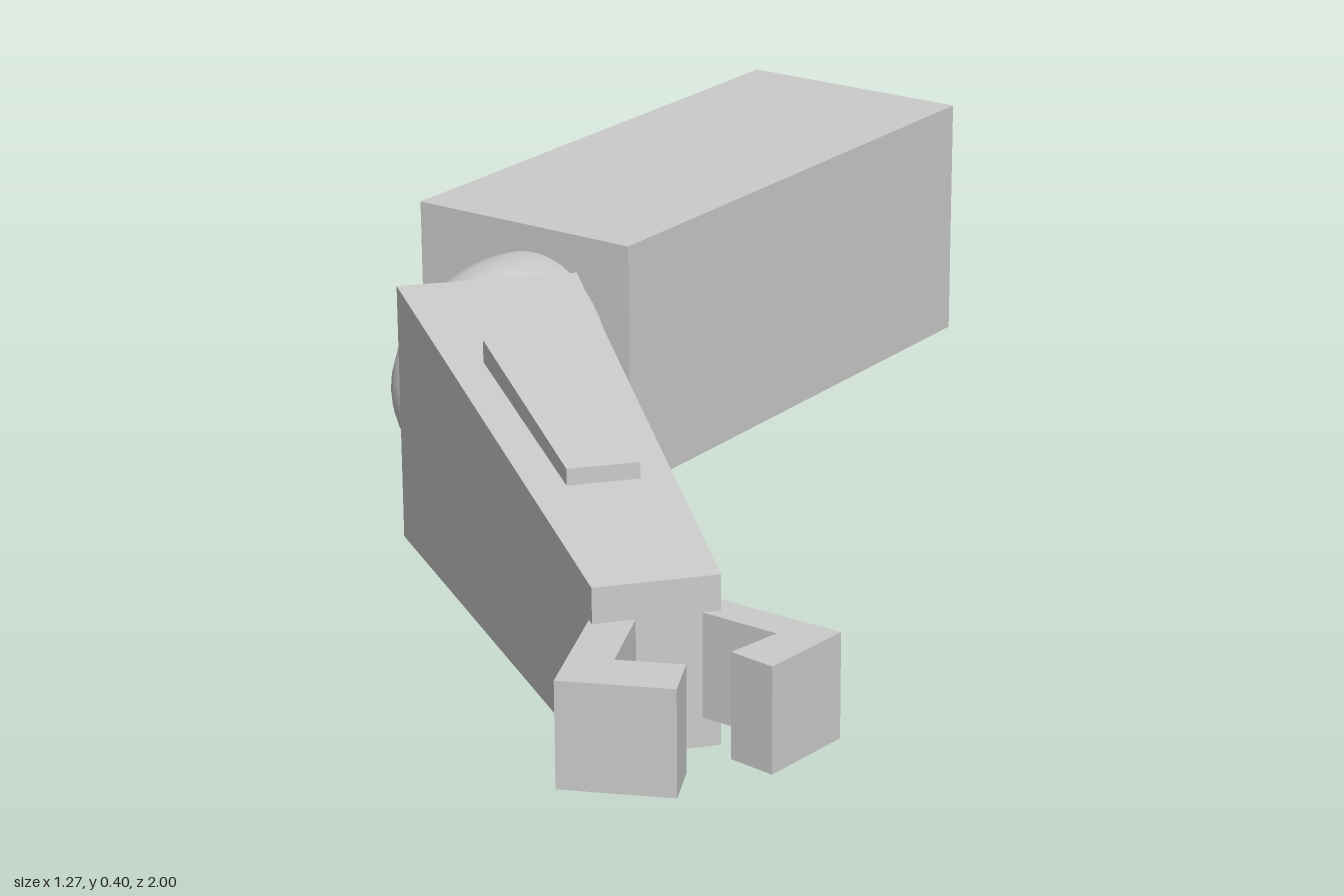
import * as THREE from 'three';

const material = new THREE.MeshStandardMaterial({ color: 0xcccccc });
const flatMaterial = new THREE.MeshStandardMaterial({ color: 0xcccccc, flatShading: true });

function part(name, geometry, mat = flatMaterial) {
  const mesh = new THREE.Mesh(geometry, mat);
  mesh.name = name;
  return mesh;
}

// Box whose four upright edges are moved to given [x, z, bottom, top] values,
// in the order back-left, back-right, front-left, front-right of the unit box.
function taperedBox(edges) {
  const geometry = new THREE.BoxGeometry(1, 1, 1);
  const pos = geometry.attributes.position;
  for (let i = 0; i < pos.count; i++) {
    const [x, z, low, high] = edges[(pos.getZ(i) > 0 ? 2 : 0) + (pos.getX(i) > 0 ? 1 : 0)];
    pos.setXYZ(i, x, pos.getY(i) > 0 ? high : low, z);
  }
  geometry.computeVertexNormals();
  return geometry;
}

// Upright prism from a plan outline of [x, z] points.
function planPrism(outline, low, high) {
  const shape = new THREE.Shape(outline.map(([x, z]) => new THREE.Vector2(x, -z)));
  return new THREE.ExtrudeGeometry(shape, { depth: high - low, bevelEnabled: false })
    .rotateX(-Math.PI / 2)
    .translate(0, low, 0);
}

export function createModel() {
  const arm = new THREE.Group();
  arm.name = 'roboticArm';

  // Upper arm block
  arm.add(part('upperArm', new THREE.BoxGeometry(0.39, 0.385, 0.91).translate(-0.44, 0.1925, -0.545)));

  // Smooth stretched elbow ball
  const elbow = part('elbow', new THREE.SphereGeometry(1, 32, 20), material);
  elbow.scale.set(0.144, 0.158, 0.256);
  elbow.rotation.y = 0.16;
  elbow.position.set(-0.413, 0.192, -0.02);
  arm.add(elbow);

  // Forearm tapering toward the wrist
  arm.add(part('forearm', taperedBox([
    [-0.41, 0.245, 0, 0.385], [-0.235, 0.05, 0, 0.385],
    [0.37, 0.835, 0.08, 0.31], [0.475, 0.71, 0.08, 0.31],
  ])));

  // Raised panel lying on the sloping forearm
  arm.add(part('forearmPanel', taperedBox([
    [-0.148, 0.381, 0.35, 0.395], [-0.058, 0.275, 0.35, 0.395],
    [0.175, 0.624, 0.325, 0.355], [0.238, 0.55, 0.325, 0.355],
  ])));

  // Two hooked gripper fingers
  const fingers = {
    leftFinger: [[0.45, 0.682], [0.633, 0.682], [0.622, 0.815], [0.557, 0.807], [0.571, 0.73], [0.45, 0.728]],
    rightFinger: [[0.354, 0.815], [0.432, 0.995], [0.566, 0.933], [0.534, 0.868], [0.455, 0.905], [0.404, 0.79]],
  };
  for (const [name, outline] of Object.entries(fingers)) {
    arm.add(part(name, planPrism(outline, 0.12, 0.262)));
  }

  return arm;
}
